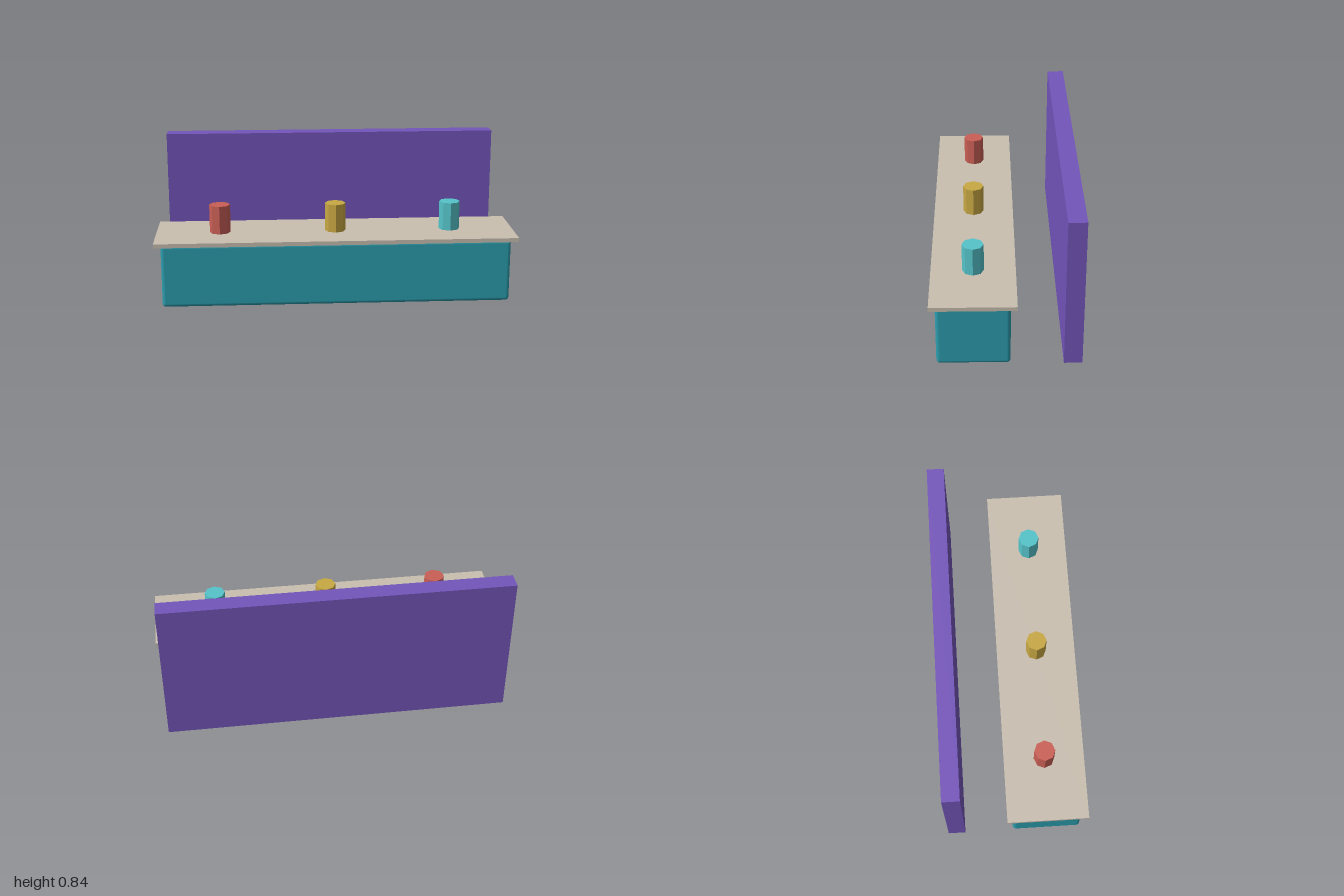
import * as THREE from 'three';
import { RoundedBoxGeometry } from 'three/addons/geometries/RoundedBoxGeometry.js';

const material = (name, color, flatShading = false) => {
  const m = new THREE.MeshStandardMaterial({ color, flatShading });
  m.name = name;
  return m;
};

export function createModel() {
  const group = new THREE.Group();
  group.name = 'barCounter';

  const add = (name, geometry, mat, x, y, z) => {
    const mesh = new THREE.Mesh(geometry, mat);
    mesh.name = name;
    mesh.position.set(x, y, z);
    group.add(mesh);
  };

  // Counter body with softly rounded edges
  add('counterBody', new RoundedBoxGeometry(1.93, 0.355, 0.387, 3, 0.02),
    material('teal', 0x2c9fb0), 0, 0.1775, 0.171);

  // Overhanging slab on the counter
  add('counterTop', new THREE.BoxGeometry(2, 0.023, 0.452),
    material('stone', 0xc9bfb0), 0, 0.3635, 0.17);

  // Free-standing wall behind the counter
  add('backWall', new THREE.BoxGeometry(1.93, 0.84, 0.097),
    material('purple', 0x7455bb), 0, 0.42, -0.3475);

  // Three eight-sided cups in a row
  const cup = new THREE.CylinderGeometry(0.058, 0.058, 0.158, 8);
  [
    ['redCup', 'red', 0xc95f55, -0.645],
    ['goldCup', 'gold', 0xc8a843, 0],
    ['aquaCup', 'aqua', 0x55c4ca, 0.645],
  ].forEach(([name, colorName, color, x]) =>
    add(name, cup, material(colorName, color, true), x, 0.454, 0.171));

  return group;
}
